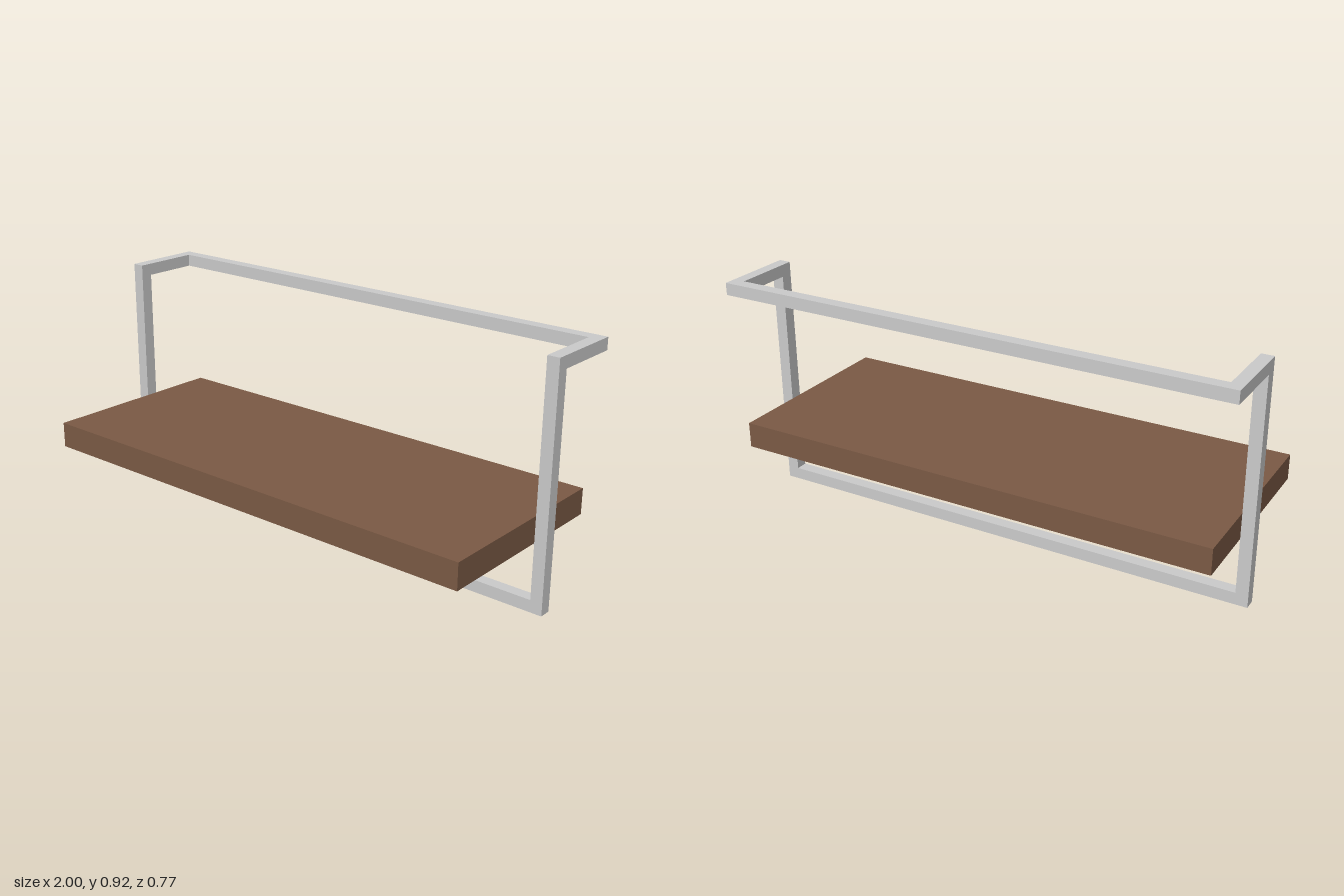
import * as THREE from 'three';

const TUBE = 0.047;      // side of the square tubing
const HEIGHT = 0.924;
const BACK = -0.385;     // rear face of frame and shelf
const POST_FRONT = -0.071;
const POST_BACK = POST_FRONT - TUBE;
const INNER = 1 - TUBE;  // inner face of the side posts

const metal = new THREE.MeshStandardMaterial({ color: 0xcccccc });
const wood = new THREE.MeshStandardMaterial({ color: 0x7b5a45 });

// Box given by its minimum and maximum corners
function bar(name, material, [x0, y0, z0], [x1, y1, z1]) {
  const mesh = new THREE.Mesh(new THREE.BoxGeometry(x1 - x0, y1 - y0, z1 - z0), material);
  mesh.position.set((x0 + x1) / 2, (y0 + y1) / 2, (z0 + z1) / 2);
  mesh.name = name;
  return mesh;
}

export function createModel() {
  const model = new THREE.Group();
  model.name = 'wallShelf';

  const frame = new THREE.Group();
  frame.name = 'frame';
  model.add(frame);

  // Side posts, each with an arm reaching back at the top
  for (const [side, x] of [['left', INNER], ['right', -1]]) {
    frame.add(
      bar(side + 'Post', metal, [x, 0, POST_BACK], [x + TUBE, HEIGHT, POST_FRONT]),
      bar(side + 'Arm', metal, [x, HEIGHT - TUBE, BACK], [x + TUBE, HEIGHT, POST_BACK])
    );
  }

  // Rails between the sides; the support is let into the underside of the shelf
  const rail = (name, y, z) =>
    frame.add(bar(name, metal, [-INNER, y, z], [INNER, y + TUBE, z + TUBE]));
  rail('topRail', HEIGHT - TUBE, BACK);
  rail('bottomRail', 0, POST_BACK);
  rail('shelfSupport', 0.257, POST_BACK);

  // Wooden board
  model.add(bar('shelfBoard', wood, [-INNER, 0.262, BACK], [INNER, 0.362, -BACK]));

  return model;
}
